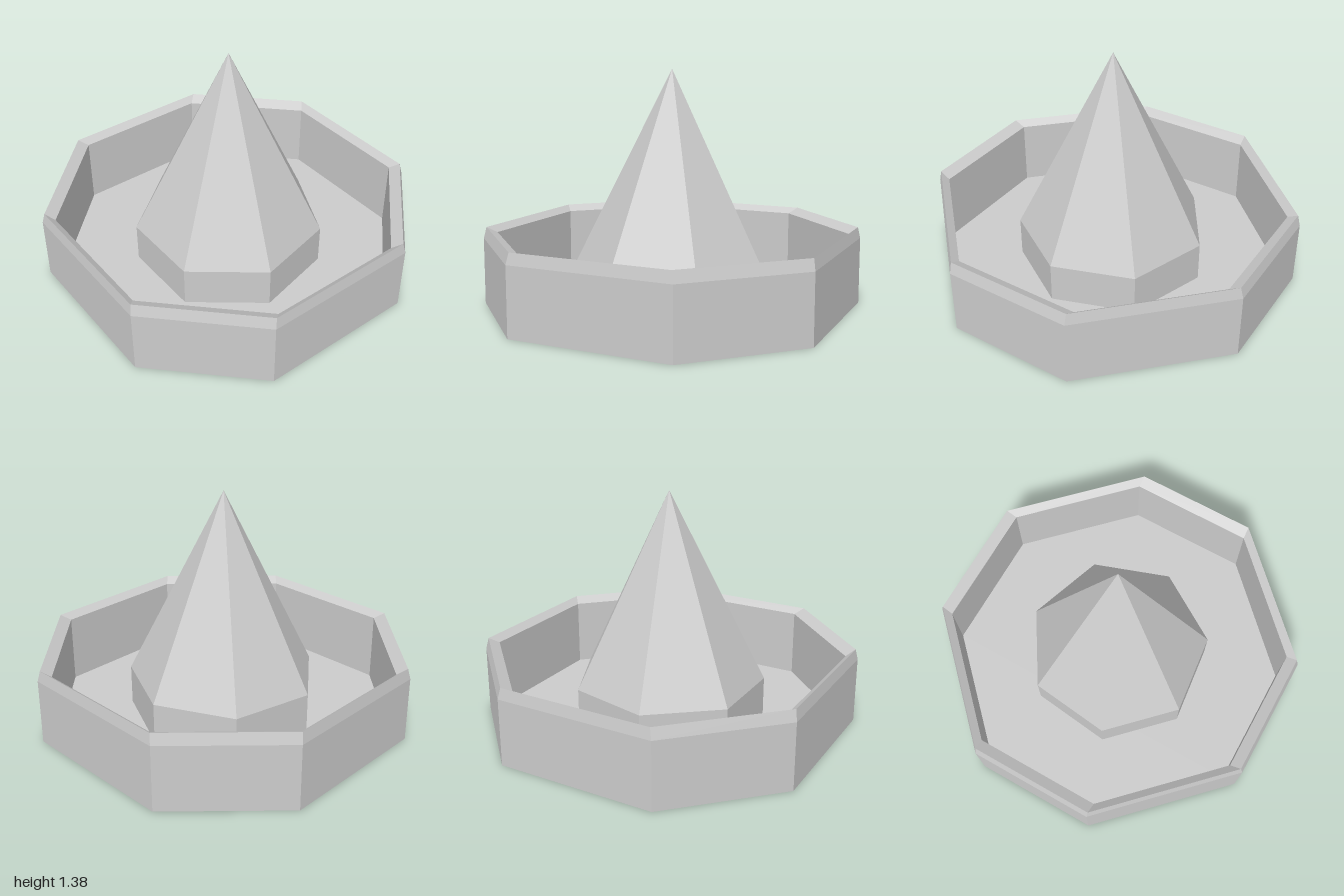
import * as THREE from 'three';

const material = new THREE.MeshStandardMaterial({ color: 0xcccccc, flatShading: true });

// Octagon with flats at distance a and corners at offset c along each flat,
// ordered counter-clockwise as seen from above.
function octagon(a, c, y) {
  return [[c, a], [a, c], [a, -c], [c, -a], [-c, -a], [-a, -c], [-a, c], [-c, a]]
    .map(([x, z]) => new THREE.Vector3(x, y, z));
}

// Skin a stack of rings and close its first and last ring with fans.
function skin(rings) {
  const tris = [];
  const n = rings[0].length;
  for (let r = 0; r < rings.length - 1; r++) {
    for (let i = 0; i < n; i++) {
      const j = (i + 1) % n;
      const [a, b, c, d] = [rings[r][i], rings[r][j], rings[r + 1][j], rings[r + 1][i]];
      tris.push(a, b, c, a, c, d);
    }
  }
  const first = rings[0], last = rings[rings.length - 1];
  for (let i = 1; i < n - 1; i++) {
    tris.push(first[0], first[i + 1], first[i]);
    tris.push(last[0], last[i], last[i + 1]);
  }
  const geometry = new THREE.BufferGeometry().setFromPoints(tris);
  geometry.computeVertexNormals();
  return geometry;
}

export function createModel() {
  const group = new THREE.Group();
  const add = (name, geometry, y = 0) => {
    const mesh = new THREE.Mesh(geometry, material);
    mesh.name = name;
    mesh.position.y = y;
    group.add(mesh);
  };

  // Open basin: outer wall, bevel to the ridge, slope inward, inner wall, floor
  add('basin', skin([
    octagon(1, 0.47, 0),
    octagon(1, 0.47, 0.39),
    octagon(0.988, 0.457, 0.455),
    octagon(0.945, 0.41, 0.42),
    octagon(0.945, 0.41, 0.01),
  ]));

  // Seven-sided spire on a short upright plinth, one corner to the back
  const radius = 0.565, sides = 7, plinthTop = 0.25, apex = 1.375;
  add('plinth',
    new THREE.CylinderGeometry(radius, radius, plinthTop - 0.01, sides, 1, true, Math.PI),
    (plinthTop + 0.01) / 2);
  add('spire',
    new THREE.ConeGeometry(radius, apex - plinthTop, sides, 1, true, Math.PI),
    (apex + plinthTop) / 2);

  return group;
}
